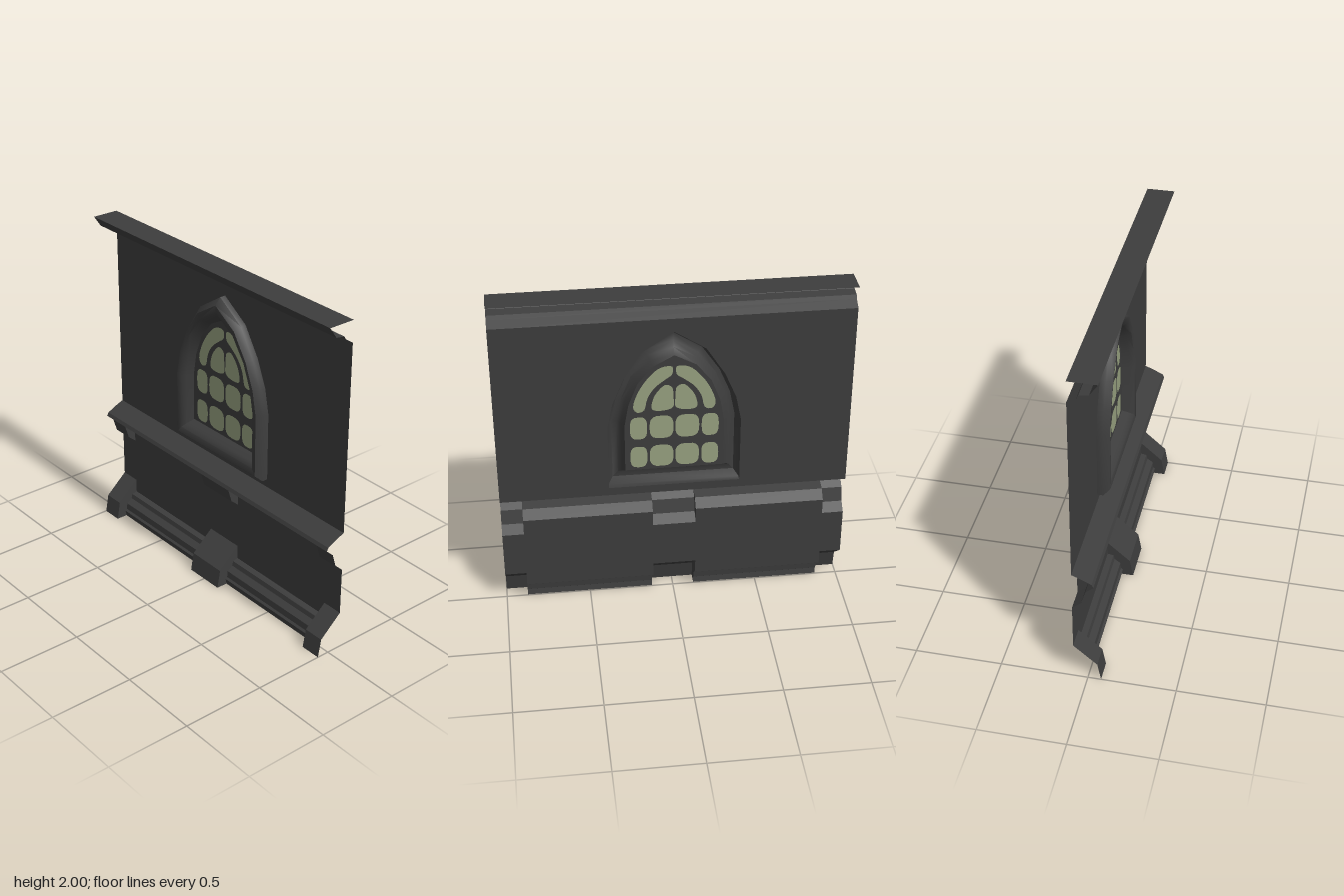
import * as THREE from 'three';
import { toCreasedNormals, mergeGeometries } from 'three/addons/utils/BufferGeometryUtils.js';

const BACK = -0.08; // depth of the wall plane

const stone = new THREE.MeshStandardMaterial({ color: 0x3d3d3d, side: THREE.DoubleSide });
stone.name = 'darkStone';
const glass = new THREE.MeshStandardMaterial({ color: 0x98a280, side: THREE.DoubleSide });
glass.name = 'paleGreenGlass';

// Profiles as [z, y], from top to bottom
const CORNICE = [[BACK, 2], [0.08, 2], [0.035, 1.935], [-0.02, 1.926], [-0.03, 1.905], [BACK, 1.875]];
const LEDGE_TOP = [[BACK, 0.75], [-0.03, 0.73], [0.03, 0.7], [0.04, 0.68]];
const LEDGE_UNDER = [[0.04, 0.68], [-0.035, 0.66], [BACK, 0.61]];
const CORBEL = [[0.04, 0.68], [-0.005, 0.64], [-0.03, 0.558], [BACK, 0.515]];
const PLINTH = [[BACK, 0.145], [-0.045, 0.138], [-0.038, 0.11], [-0.003, 0.085], [0, 0.045], [0.012, 0.035], [0.005, 0]];
const BLOCK = [[BACK, 0.23], [0.055, 0.11], [0.075, 0]];

const BAYS = [[-0.875, -0.125], [0.125, 0.875]];
const PIERS = [[-1, -0.875], [-0.125, 0.125], [0.875, 1]];

// Surface joining rows of points; flat between creases
function grid(rows, crease) {
  const pos = [], idx = [], n = rows[0].length;
  rows.forEach(r => r.forEach(p => pos.push(...p)));
  for (let i = 0; i < rows.length - 1; i++) {
    for (let j = 0; j < n - 1; j++) {
      const a = i * n + j, b = a + 1, c = a + n + 1, d = a + n;
      idx.push(a, b, c, a, c, d);
    }
  }
  const g = new THREE.BufferGeometry();
  g.setAttribute('position', new THREE.Float32BufferAttribute(pos, 3));
  g.setIndex(idx);
  return toCreasedNormals(g, crease);
}

// Profile stretched along x
const run = (profile, [x0, x1]) => grid([x0, x1].map(x => profile.map(([z, y]) => [x, y, z])), 0.1);

// Flat cheek standing across x
function cheek(outline, x) {
  const g = new THREE.ShapeGeometry(shapeOf(outline));
  return g.rotateY(-Math.PI / 2).translate(x, 0, 0).toNonIndexed();
}

const shapeOf = pts => new THREE.Shape(pts.map(([x, y]) => new THREE.Vector2(x, y)));
const mirror = pts => pts.map(([x, y]) => [-x, y]).reverse();

// Pointed arch outlines, right half from the sill to the apex
const OUTER = [[0.375, 0.8], [0.375, 1.21], [0.345, 1.36], [0.28, 1.515], [0.175, 1.68], [0, 1.795]];
const INNER = [[0.28, 0.915], [0.28, 1.21], [0.257, 1.345], [0.205, 1.48], [0.12, 1.585], [0, 1.65]];
const arch = half => [...half, ...mirror(half.slice(0, -1))];

// Rounded pane with uneven softened corners
function pane(x0, x1, y0, y1) {
  const cx = (x0 + x1) / 2, cy = (y0 + y1) / 2, pts = [];
  for (let i = 0; i < 20; i++) {
    const a = i / 20 * Math.PI * 2, c = Math.cos(a), s = Math.sin(a);
    pts.push([cx + Math.sign(c) * Math.abs(c) ** 0.65 * (x1 - x0) / 2,
      cy + Math.sign(s) * Math.abs(s) ** 0.65 * (y1 - y0) / 2]);
  }
  return pts;
}

// Smooth closed outline through a few points
function blob(pts) {
  const curve = new THREE.CatmullRomCurve3(pts.map(([x, y]) => new THREE.Vector3(x, y, 0)), true);
  return curve.getPoints(36).slice(0, -1).map(p => [p.x, p.y]);
}

export function createModel() {
  const model = new THREE.Group();
  model.name = 'wallPanel';
  const add = (name, geometry, material = stone, parent = model) => {
    const mesh = new THREE.Mesh(geometry, material);
    mesh.name = name;
    parent.add(mesh);
  };

  // Cornice and ledge over the full width
  add('cornice', run(CORNICE, [-1, 1]));
  add('ledge', run(LEDGE_TOP, [-1, 1]));

  // Upper wall with the window opening
  const wall = shapeOf([[-1, 0.75], [1, 0.75], [1, 1.875], [-1, 1.875]]);
  wall.holes.push(shapeOf(arch(OUTER)));
  add('upperWall', new THREE.ShapeGeometry(wall).translate(0, 0, BACK));

  // Recessed bays: ledge underside, lower wall, plinth moulding
  for (const span of BAYS) {
    add('ledgeUnderside', run(LEDGE_UNDER, span));
    add('lowerWall', run([[BACK, 0.61], [BACK, 0.145]], span));
    add('plinthMoulding', run(PLINTH, span));
  }

  // Piers: corbel above, base block below
  const corbelSide = [...CORBEL, ...LEDGE_UNDER.slice(1).reverse()];
  const blockSide = [...BLOCK, ...[...PLINTH].reverse()];
  for (const span of PIERS) {
    const inner = span.filter(x => Math.abs(x) < 1);
    add('lowerWall', run([[BACK, 0.515], [BACK, 0.23]], span));
    add('corbel', run(CORBEL, span));
    add('baseBlock', run(BLOCK, span));
    add('corbelCheeks', mergeGeometries(inner.map(x => cheek(corbelSide, x))));
    add('baseBlockCheeks', mergeGeometries(inner.map(x => cheek(blockSide, x))));
  }

  // Window frame: section swept around the arch, [inset, z]
  const window = new THREE.Group();
  window.name = 'window';
  model.add(window);
  const section = [[0, BACK], [0, -0.045], [0.28, -0.01], [0.6, -0.014], [0.8, -0.04], [1, BACK]];
  const outer = arch(OUTER), inner = arch(INNER);
  const rows = outer.map(([x, y], i) => section.map(([t, z]) =>
    [x + (inner[i][0] - x) * t, y + (inner[i][1] - y) * t, z]).reverse());
  rows.push(rows[0]);
  add('windowFrame', grid(rows.reverse(), 0.85), stone, window);

  // Glass panes, right half then mirrored
  const half = [
    pane(0.005, 0.14, 0.93, 1.075), pane(0.153, 0.25, 0.93, 1.07),
    pane(0.005, 0.14, 1.118, 1.268), pane(0.153, 0.25, 1.118, 1.265),
    blob([[0.008, 1.32], [0.065, 1.3], [0.125, 1.312], [0.118, 1.38], [0.09, 1.43], [0.05, 1.465], [0.014, 1.45], [0.006, 1.39]]),
    blob([[0.013, 1.58], [0.08, 1.575], [0.15, 1.51], [0.205, 1.42], [0.23, 1.33], [0.21, 1.297], [0.172, 1.305],
      [0.15, 1.385], [0.11, 1.45], [0.05, 1.5], [0.013, 1.53]]),
  ];
  const panes = [...half, ...half.map(mirror)].map(shapeOf);
  add('panes', new THREE.ShapeGeometry(panes).translate(0, 0, BACK), glass, window);

  // Tracery filling the rest of the opening
  const tracery = shapeOf(inner);
  tracery.holes.push(...panes);
  add('tracery', new THREE.ShapeGeometry(tracery).translate(0, 0, BACK), stone, window);

  return model;
}
